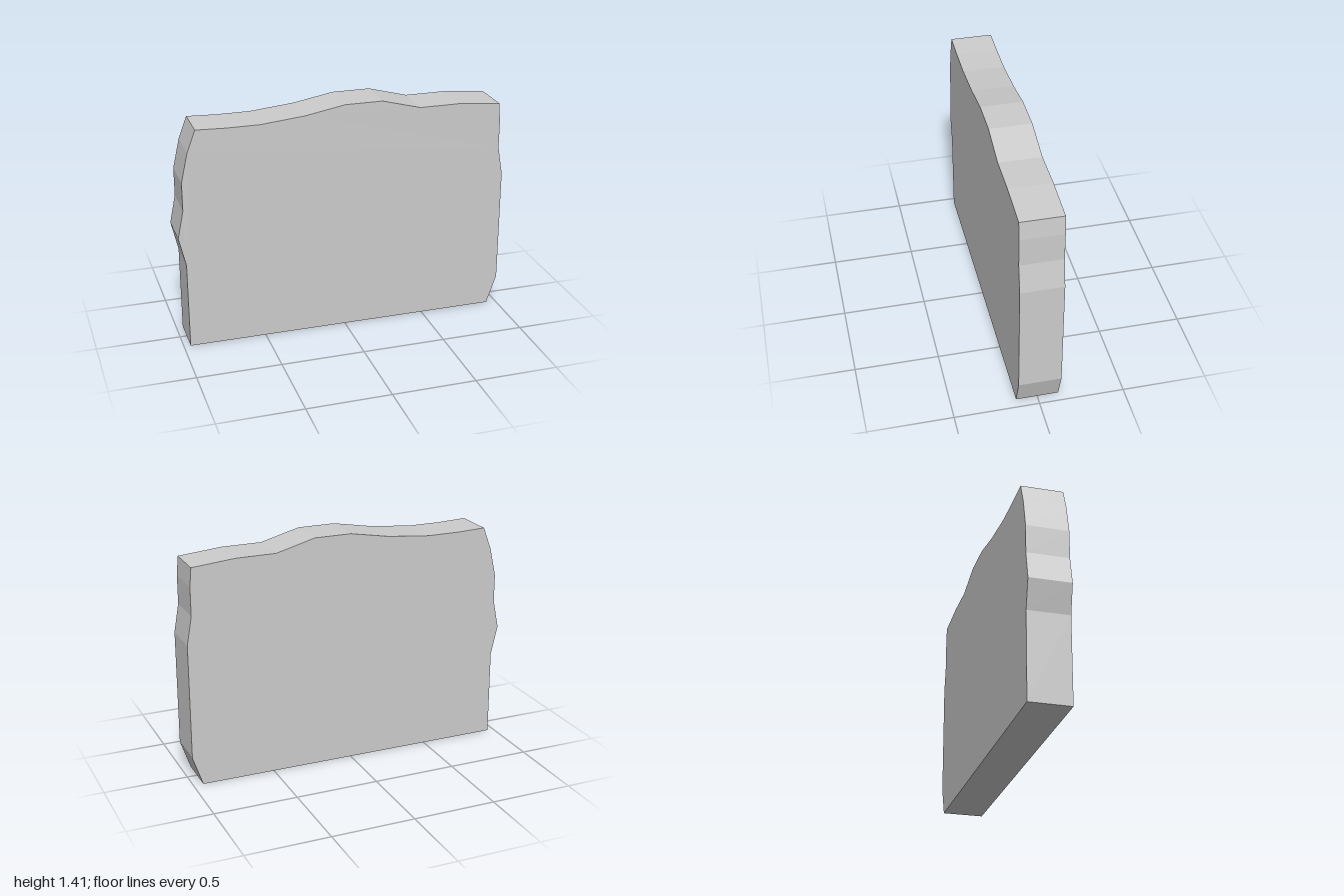
import * as THREE from 'three';

const DEPTH = 0.25;

export function createModel() {
  const group = new THREE.Group();
  group.name = 'stoneSlab';

  // Uneven outline, counter-clockwise from the bottom corner
  const outline = [
    [-0.96, 0], [0.94, 0],
    // left edge, going up
    [1, 0.175], [1, 0.87], [0.97, 1.04], [0.97, 1.21], [0.96, 1.322],
    // wavy top
    [0.7, 1.345], [0.46, 1.345], [0.225, 1.408], [0, 1.408],
    [-0.24, 1.365], [-0.5, 1.34], [-0.7, 1.34], [-0.875, 1.347],
    // right edge, going down
    [-0.925, 1.215], [-0.965, 1.04], [-0.965, 0.87], [-1, 0.7], [-0.96, 0.525],
  ].map(([x, y]) => new THREE.Vector2(x, y));

  const geometry = new THREE.ExtrudeGeometry(new THREE.Shape(outline), {
    depth: DEPTH,
    bevelEnabled: false,
  });
  geometry.translate(0, 0, -DEPTH / 2);

  const slab = new THREE.Mesh(
    geometry,
    new THREE.MeshStandardMaterial({ color: 0xcccccc, flatShading: true }),
  );
  slab.name = 'slab';
  group.add(slab);
  return group;
}
